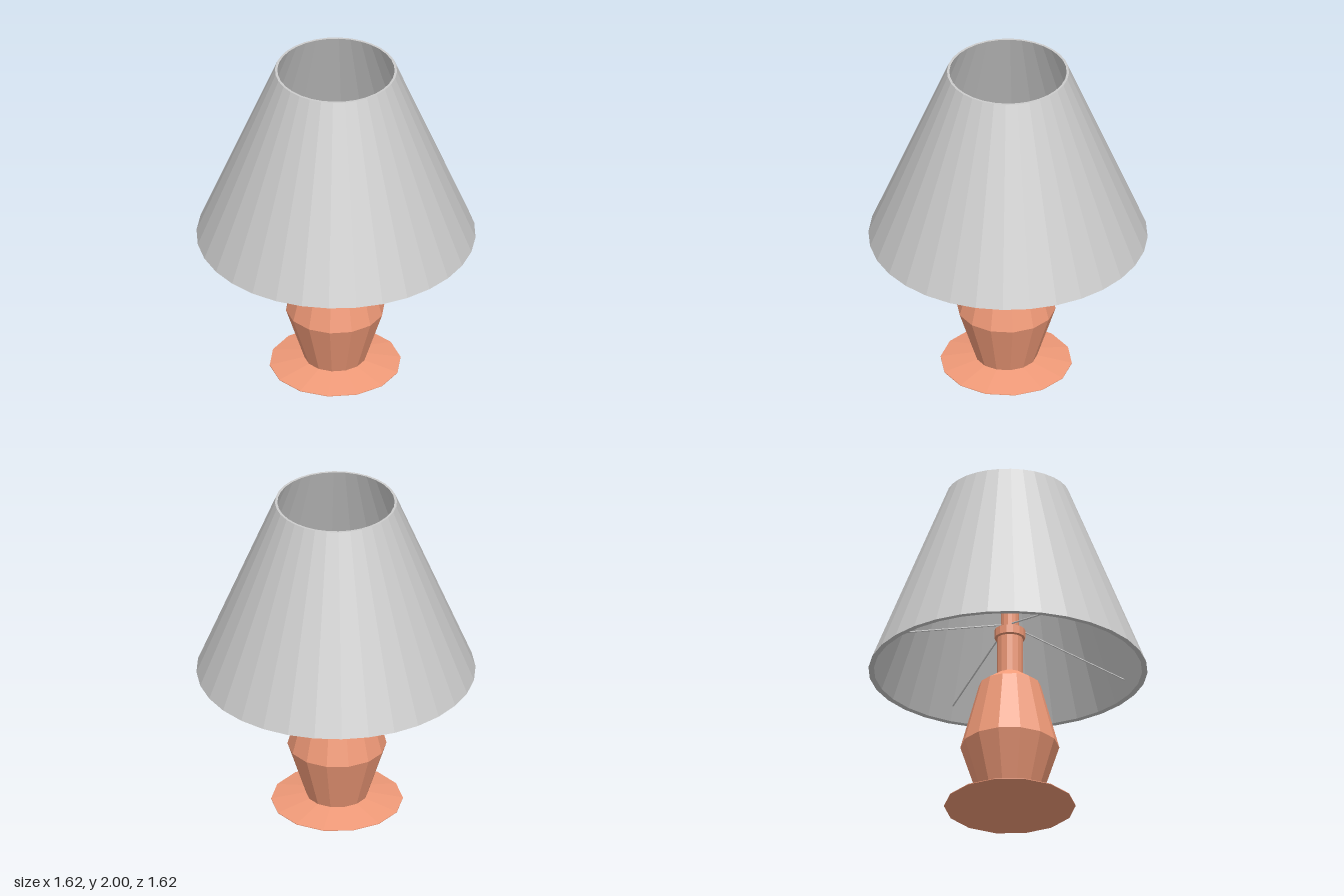
import * as THREE from 'three';

const clay = new THREE.MeshStandardMaterial({ color: 0xf09a78, flatShading: true });
const grey = new THREE.MeshStandardMaterial({ color: 0xcccccc, flatShading: true });

// Turned part from [radius, height] pairs, listed upwards along the outside
function turned(name, profile, sides, material) {
  const points = profile.map(([r, y]) => new THREE.Vector2(r, y));
  const mesh = new THREE.Mesh(new THREE.LatheGeometry(points, sides), material);
  mesh.name = name;
  return mesh;
}

// Thin round rod between two points
function rod(name, a, b, radius, material) {
  const dir = b.clone().sub(a);
  const mesh = new THREE.Mesh(new THREE.CylinderGeometry(radius, radius, dir.length(), 6), material);
  mesh.position.copy(a).add(b).multiplyScalar(0.5);
  mesh.quaternion.setFromUnitVectors(new THREE.Vector3(0, 1, 0), dir.normalize());
  mesh.name = name;
  return mesh;
}

export function createModel() {
  const model = new THREE.Group();
  model.name = 'tableLamp';

  // Stand and bulb sit very slightly off the shade's axis
  const stand = new THREE.Group();
  stand.name = 'stand';
  stand.position.set(-0.008, 0, 0.008);
  model.add(stand);

  // Foot, faceted body and neck
  stand.add(turned('foot', [[0, 0], [0.383, 0], [0.383, 0.004], [0.18, 0.045]], 14, clay));
  stand.add(turned('body', [[0.18, 0.045], [0.288, 0.375], [0.18, 0.77], [0.076, 0.84]], 14, clay));
  stand.add(turned('neck', [[0.076, 0.84], [0.076, 1.07]], 14, clay));

  // Collar and bulb socket
  stand.add(turned('collar', [[0.076, 1.07], [0.09, 1.075], [0.09, 1.125], [0.052, 1.14]], 14, clay));
  stand.add(turned('socket', [[0.052, 1.14], [0.052, 1.25], [0, 1.25]], 14, clay));

  // Bulb
  const bulb = new THREE.Mesh(new THREE.SphereGeometry(0.1, 14, 10), grey);
  bulb.position.y = 1.325;
  bulb.name = 'bulb';
  stand.add(bulb);

  // Hollow shade with a wall thickness
  model.add(turned('shade', [
    [0.78, 0.875], [0.812, 0.875], [0.355, 2], [0.341, 2], [0.78, 0.875],
  ], 32, grey));

  // Four wires that carry the shade
  for (let i = 0; i < 4; i++) {
    const angle = i * Math.PI / 2;
    const at = (r, y) => new THREE.Vector3(r * Math.sin(angle), y, r * Math.cos(angle));
    model.add(rod('shadeWire', at(0.04, 1.155), at(0.75, 0.96), 0.005, grey));
  }
  return model;
}
